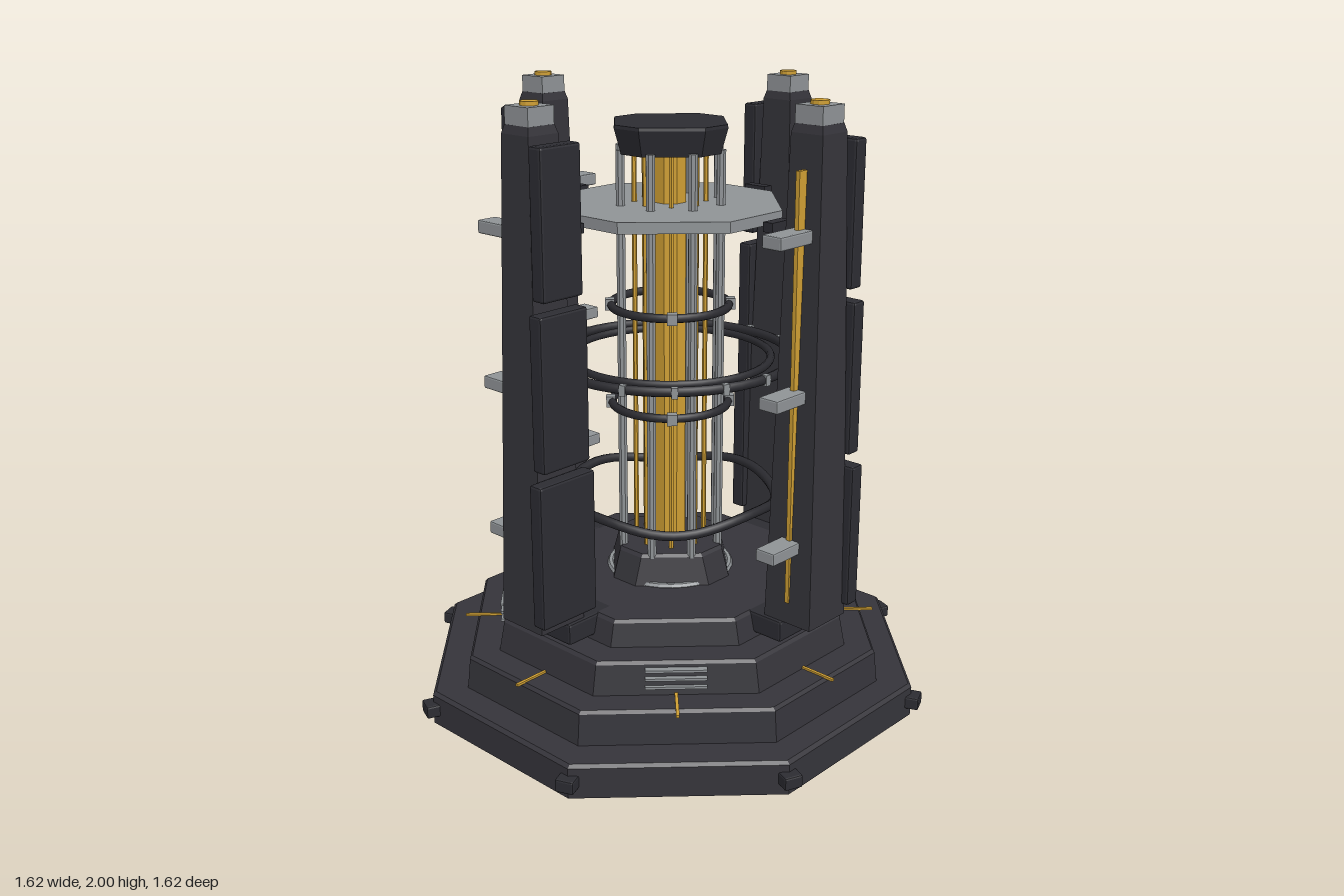
import * as THREE from 'three';
import { RoundedBoxGeometry } from 'three/addons/geometries/RoundedBoxGeometry.js';

const mat = (name, color, flat = true) => {
  const m = new THREE.MeshStandardMaterial({ color, flatShading: flat });
  m.name = name;
  return m;
};

// Solid built from stacked eight-sided sections: [y, half width, half length of the straight side]
function octagonStack(levels) {
  const ring = ([y, a, h]) => [[h, a], [a, h], [a, -h], [h, -a], [-h, -a], [-a, -h], [-a, h], [-h, a]]
    .map(([x, z]) => [x, y, z]);
  const rings = levels.map(ring);
  const pos = [];
  const tri = (...p) => p.forEach((v) => pos.push(...v));
  for (let i = 0; i < 8; i++) {
    const j = (i + 1) % 8;
    for (let k = 0; k < rings.length - 1; k++) {
      const lo = rings[k], hi = rings[k + 1];
      tri(lo[i], lo[j], hi[j]);
      tri(lo[i], hi[j], hi[i]);
    }
    const last = rings.length - 1;
    tri([0, levels[last][0], 0], rings[last][i], rings[last][j]);
    tri([0, levels[0][0], 0], rings[0][j], rings[0][i]);
  }
  const g = new THREE.BufferGeometry();
  g.setAttribute('position', new THREE.Float32BufferAttribute(pos, 3));
  g.computeVertexNormals();
  return g;
}

export function createModel() {
  const root = new THREE.Group();
  root.name = 'reactorTower';
  const body = mat('dark body', 0x35343a);
  const panel = mat('dark panel', 0x2c2c32);
  const cable = mat('black ring', 0x2a2a2f, false);
  const silver = mat('silver', 0x8f9396);
  const gold = mat('gold', 0xcf9f33);

  const add = (parent, name, geo, material, x = 0, y = 0, z = 0) => {
    const m = new THREE.Mesh(geo, material);
    m.name = name;
    m.position.set(x, y, z);
    parent.add(m);
    return m;
  };
  const box = (w, h, d) => new THREE.BoxGeometry(w, h, d);
  // Groups turned about the vertical axis; local +z points outward
  const around = (name, count, start, build) => {
    for (let i = 0; i < count; i++) {
      const g = new THREE.Group();
      g.name = name;
      g.rotation.y = start + (i * 2 * Math.PI) / count;
      build(g);
      root.add(g);
    }
  };

  // Stepped base
  add(root, 'baseTier', octagonStack([[0, 0.775, 0.328], [0.1, 0.775, 0.328], [0.11, 0.765, 0.322]]), body);
  add(root, 'secondTier', octagonStack([[0.11, 0.665, 0.3], [0.21, 0.655, 0.295], [0.22, 0.647, 0.29]]), body);
  add(root, 'thirdTier', octagonStack([[0.22, 0.562, 0.255], [0.315, 0.545, 0.245], [0.325, 0.537, 0.24]]), body);
  add(root, 'fourthTier', octagonStack([[0.325, 0.45, 0.2], [0.4, 0.435, 0.19], [0.41, 0.427, 0.185]]), body);
  add(root, 'pedestal', octagonStack([[0.41, 0.19, 0.12], [0.5, 0.168, 0.1], [0.51, 0.16, 0.095]]), body);
  add(root, 'pedestalRing', new THREE.TorusGeometry(0.2, 0.011, 6, 32).rotateX(Math.PI / 2), silver, 0, 0.412);

  // Lugs on the base corners
  const cornerAngle = Math.atan2(0.328, 0.775);
  for (const s of [1, -1]) {
    around('baseLug', 4, s * cornerAngle, (g) =>
      add(g, 'lug', new RoundedBoxGeometry(0.06, 0.042, 0.06, 1, 0.006), panel, 0, 0.055, 0.842));
  }

  // Gold inlays and vents
  around('floorInlay', 8, 0, (g) => add(g, 'inlay', box(0.01, 0.008, 0.135), gold, 0, 0.222, 0.628));
  around('vent', 4, 0, (g) => {
    for (const y of [0.246, 0.274, 0.302]) add(g, 'ventSlat', box(0.19, 0.008, 0.024), silver, 0, y, 0.557);
  });

  // Central core
  add(root, 'coreColumn', new THREE.CylinderGeometry(0.053, 0.053, 1.3, 8).rotateY(Math.PI / 8), gold, 0, 1.155);
  around('outerRod', 8, Math.PI / 8, (g) =>
    add(g, 'rod', new THREE.CylinderGeometry(0.015, 0.015, 1.32, 8), silver, 0, 1.15, 0.168));
  around('innerRod', 8, 0, (g) =>
    add(g, 'rod', new THREE.CylinderGeometry(0.008, 0.008, 1.32, 6), gold, 0, 1.15, 0.112));
  add(root, 'coreCap', octagonStack([[1.8, 0.152, 0.09], [1.88, 0.173, 0.1], [1.89, 0.171, 0.1]]), panel);
  add(root, 'upperPlate', octagonStack([[1.605, 0.335, 0.165], [1.64, 0.335, 0.165]]), silver);

  // Horizontal rings
  const ring = (name, r, tube, y) =>
    add(root, name, new THREE.TorusGeometry(r, tube, 8, 48).rotateX(Math.PI / 2), cable, 0, y);
  for (const y of [1.31, 0.985]) {
    ring('coreRing', 0.188, 0.014, y);
    around('coreRingClip', 4, 0, (g) => add(g, 'clip', box(0.032, 0.036, 0.03), silver, 0, y, 0.193));
  }
  ring('outerRing', 0.395, 0.016, 1.14);
  ring('middleRing', 0.325, 0.013, 1.14);
  around('outerRingClip', 16, 0, (g) => add(g, 'clip', box(0.02, 0.034, 0.02), silver, 0, 1.14, 0.402));

  // Lower ring, dipping slightly between the towers
  const wave = [];
  for (let i = 0; i < 32; i++) {
    const a = (i * Math.PI) / 16;
    wave.push(new THREE.Vector3(0.35 * Math.sin(a), 0.668 - 0.014 * Math.cos(4 * a), 0.35 * Math.cos(a)));
  }
  add(root, 'lowerRing', new THREE.TubeGeometry(new THREE.CatmullRomCurve3(wave, true), 64, 0.016, 8, true), cable);

  // Four corner towers
  const R = 0.575;
  around('tower', 4, Math.PI / 4, (g) => {
    add(g, 'towerFoot', new RoundedBoxGeometry(0.2, 0.07, 0.19, 1, 0.008), panel, 0, 0.375, 0.465);
    add(g, 'towerColumn', new THREE.CylinderGeometry(0.08, 0.125, 1.5, 4).rotateY(Math.PI / 4), body, 0, 1.16, R);
    add(g, 'towerShoulder', new THREE.CylinderGeometry(0.07, 0.08, 0.025, 4).rotateY(Math.PI / 4), body, 0, 1.9225, R);
    add(g, 'towerCap', box(0.098, 0.055, 0.098), silver, 0, 1.9605, R);
    add(g, 'towerLamp', new THREE.CylinderGeometry(0.028, 0.028, 0.014, 12), gold, 0, 1.993, R);
    // Armour plates on one side
    for (const [y0, y1, w] of [[0.445, 0.905, 0.22], [0.94, 1.415, 0.185], [1.45, 1.89, 0.155]]) {
      add(g, 'armourPanel', new RoundedBoxGeometry(0.05, y1 - y0, w, 1, 0.008), panel, 0.1, (y0 + y1) / 2, R);
    }
    // Light strip and clamps on the other side
    add(g, 'lightStrip', box(0.04, 1.33, 0.014), gold, -0.072, 1.145, R);
    for (const y of [0.668, 1.145, 1.622]) {
      add(g, 'clamp', new RoundedBoxGeometry(0.15, 0.04, 0.07, 1, 0.005), silver, -0.128, y, R);
    }
    add(g, 'innerBracket', box(0.085, 0.03, 0.035), panel, 0, 1.622, 0.43);
  });

  return root;
}
